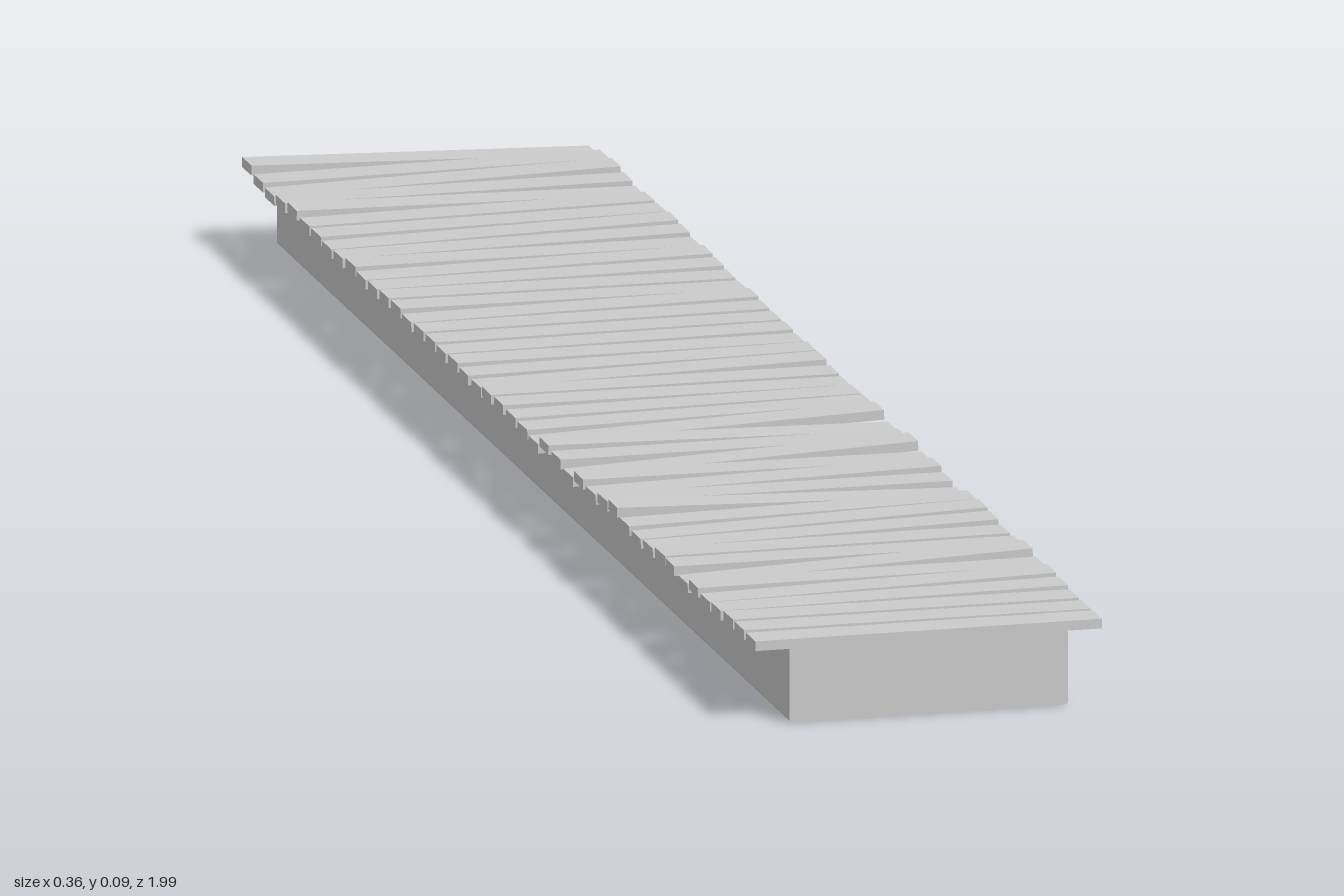
import * as THREE from 'three';

const material = new THREE.MeshStandardMaterial({ color: 0xcccccc, flatShading: true });

// Small seeded generator returning values in -1..1
function makeRandom(seed) {
  return () => {
    seed = (seed * 16807) % 2147483647;
    return (seed / 2147483647) * 2 - 1;
  };
}

// Solid beam: rectangle with softened long edges, extruded along z
function makeBase(width, height, length, r) {
  const w = width / 2;
  const s = new THREE.Shape();
  s.moveTo(-w + r, 0);
  s.lineTo(w - r, 0);
  s.quadraticCurveTo(w, 0, w, r);
  s.lineTo(w, height - r);
  s.quadraticCurveTo(w, height, w - r, height);
  s.lineTo(-w + r, height);
  s.quadraticCurveTo(-w, height, -w, height - r);
  s.lineTo(-w, r);
  s.quadraticCurveTo(-w, 0, -w + r, 0);
  const geometry = new THREE.ExtrudeGeometry(s, { depth: length, bevelEnabled: false, curveSegments: 3 });
  geometry.translate(0, 0, -length / 2);
  const base = new THREE.Mesh(geometry, material);
  base.name = 'base';
  return base;
}

export function createModel() {
  const model = new THREE.Group();
  model.name = 'plankWalkway';
  model.add(makeBase(0.288, 0.077, 1.99, 0.004));

  // Row of loosely laid cross planks, each slightly rolled and turned
  const planks = new THREE.Group();
  planks.name = 'planks';
  const count = 45, first = -0.981, last = 0.977;
  const geometry = new THREE.BoxGeometry(0.358, 0.01, 0.036);
  const random = makeRandom(4711);
  for (let i = 0; i < count; i++) {
    const plank = new THREE.Mesh(geometry, material);
    plank.name = `plank${i + 1}`;
    const end = i === 0 || i === count - 1;
    const roll = random(), yaw = random();
    plank.position.set(0, 0.081, first + ((last - first) * i) / (count - 1));
    // Most planks lie nearly flat, a few are clearly tilted
    plank.rotation.z = 0.038 * Math.sign(roll) * roll * roll;
    plank.rotation.y = end ? 0 : 0.018 * yaw;
    planks.add(plank);
  }
  model.add(planks);
  return model;
}
